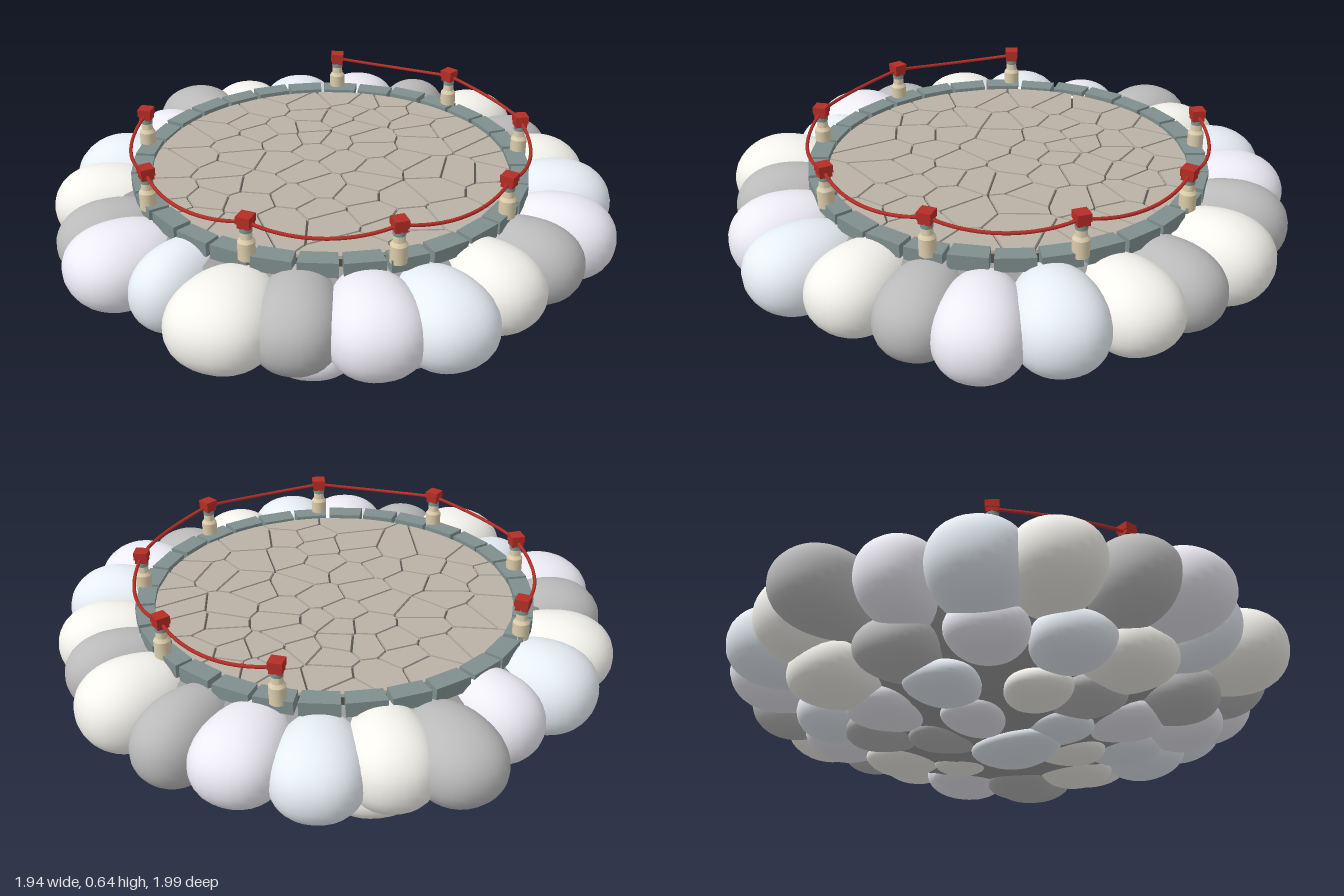
import * as THREE from 'three';
import { mergeVertices, toCreasedNormals } from 'three/addons/utils/BufferGeometryUtils.js';

const CX = 0.016, CZ = 0.007; // terrace centre
const D = Math.PI / 180;
const mat = (color) => new THREE.MeshStandardMaterial({ color });
const stoneMat = mat(0xbab2a6), groutMat = mat(0x55534f), kerbMat = mat(0x7f8e8e);
const redMat = mat(0xb52d26), postMat = mat(0xdccdac), bandMat = mat(0x7b9a95), coreMat = mat(0x9c9c9c);
const puffMats = [0xbababa, 0xf5f3ed, 0xe7eef5, 0xedebf4].map(mat);

function seeded(seed) {
  return () => {
    seed = (seed * 1664525 + 1013904223) % 4294967296;
    return seed / 4294967296;
  };
}

function add(parent, name, geometry, material) {
  const mesh = new THREE.Mesh(geometry, material);
  mesh.name = name;
  parent.add(mesh);
  return mesh;
}

// place an object on a circle around its parent's centre, its local x pointing outward
function onCircle(obj, angle, r, y) {
  obj.position.set(r * Math.cos(angle), y, r * Math.sin(angle));
  obj.rotation.y = -angle;
  return obj;
}

// slightly boxy egg with its blunt end along +x
function puffGeometry() {
  let geo = new THREE.SphereGeometry(1, 32, 20);
  geo.deleteAttribute('uv');
  geo.deleteAttribute('normal');
  geo = mergeVertices(geo);
  const p = geo.attributes.position;
  const full = (v) => Math.sign(v) * Math.abs(v) ** 0.93;
  for (let i = 0; i < p.count; i++) {
    const x = full(p.getX(i));
    p.setXYZ(i, x, full(p.getY(i)) * (1 + 0.04 * x), full(p.getZ(i)) * (1 + 0.17 * x));
  }
  geo.computeVertexNormals();
  return geo;
}

function createClouds() {
  const g = new THREE.Group();
  g.name = 'cloudBase';
  const rand = seeded(11);
  const jit = (a) => (rand() - 0.5) * 2 * a;
  const puffGeo = puffGeometry();

  // dark body behind the puffs
  const profile = [[0, 0.04], [0.2, 0.055], [0.42, 0.1], [0.6, 0.17], [0.72, 0.28], [0.75, 0.36], [0.7, 0.44], [0.62, 0.46], [0, 0.46]];
  add(g, 'cloudCore', new THREE.LatheGeometry(profile.map((p) => new THREE.Vector2(...p)), 48), coreMat);

  // big rim puffs: angle in degrees, reach from the centre, half width
  const rim = [
    [2, 0.96, 0.13], [16, 0.98, 0.15], [33, 1, 0.15], [49, 1.01, 0.145], [63, 0.95, 0.135], [80, 0.945, 0.145],
    [97, 1, 0.155], [112, 0.975, 0.155], [129, 0.94, 0.14], [144.5, 0.995, 0.17], [163, 0.885, 0.12], [179, 0.975, 0.165],
    [192, 0.945, 0.14], [211, 0.95, 0.155], [228, 0.935, 0.16], [248, 0.89, 0.135], [265.5, 1, 0.145], [279, 0.94, 0.145],
    [295, 0.975, 0.15], [312, 0.975, 0.15], [328, 0.975, 0.125], [346, 0.99, 0.155],
  ];
  rim.forEach(([a, reach, w], i) => {
    const len = 0.21;
    const puff = add(g, 'rimPuff', puffGeo, puffMats[i % 4]);
    onCircle(puff, a * D, reach - len, 0.348 + jit(0.008)).scale.set(len, 0.144 + jit(0.008), w);
  });

  // flatter puffs toward the underside, leaving the core bare on one side
  const rows = [
    { n: 14, from: 1, r: 0.595, y: 0.19, s: [0.165, 0.095, 0.15] },
    { n: 11, from: 0, r: 0.43, y: 0.118, s: [0.145, 0.058, 0.125] },
    { n: 6, from: 1, r: 0.23, y: 0.078, s: [0.13, 0.045, 0.1] },
  ];
  rows.forEach(({ n, from, r, y, s }, k) => {
    for (let i = from; i < n; i++) {
      const puff = add(g, 'underPuff', puffGeo, puffMats[(i + k + 2) % 4]);
      onCircle(puff, ((i + k * 0.5 + jit(0.2)) / n) * 2 * Math.PI, r + jit(0.03), y + jit(0.012));
      puff.scale.set(...s).multiplyScalar(1 + jit(0.12));
    }
  });
  const last = add(g, 'bottomPuff', puffGeo, puffMats[2]);
  last.position.set(-0.07, 0.046, 0);
  last.scale.set(0.17, 0.045, 0.13);
  return g;
}

// keep the part of a polygon where (p - m) . n <= -gap
function clip(poly, m, n, gap) {
  const side = (p) => (p.x - m.x) * n.x + (p.y - m.y) * n.y + gap;
  const out = [];
  poly.forEach((p, i) => {
    const q = poly[(i + 1) % poly.length];
    const a = side(p), b = side(q);
    if (a <= 0) out.push(p);
    if (a * b < 0) out.push(p.clone().lerp(q, a / (a - b)));
  });
  return out;
}

function createPaving() {
  const g = new THREE.Group();
  g.name = 'paving';
  const R = 0.617;
  const rand = seeded(5);
  add(g, 'grout', new THREE.CylinderGeometry(R + 0.005, R + 0.005, 0.04, 64), groutMat).position.y = 0.465;

  // scattered stone centres, kept a little apart
  const seeds = [];
  for (let tries = 0; seeds.length < 70 && tries < 5000; tries++) {
    const a = rand() * 2 * Math.PI, r = R * Math.sqrt(rand());
    const p = new THREE.Vector2(r * Math.cos(a), r * Math.sin(a));
    if (seeds.every((q) => q.distanceTo(p) > 0.075)) seeds.push(p);
  }
  const circle = Array.from({ length: 72 }, (_, i) => new THREE.Vector2(R * Math.cos(i * 5 * D), R * Math.sin(i * 5 * D)));
  seeds.forEach((s) => {
    let cell = circle;
    seeds.forEach((o) => {
      if (o === s) return;
      const n = o.clone().sub(s).normalize();
      cell = clip(cell, o.clone().add(s).multiplyScalar(0.5), n, 0.004);
    });
    if (cell.length < 3) return;
    const geo = new THREE.ExtrudeGeometry(new THREE.Shape(cell), { depth: 0.02, bevelEnabled: false });
    add(g, 'pavingStone', geo.rotateX(-Math.PI / 2), stoneMat).position.y = 0.476;
  });
  return g;
}

function createKerb() {
  const g = new THREE.Group();
  g.name = 'kerb';
  const rand = seeded(23);
  const n = 30, step = (2 * Math.PI) / n;
  for (let i = 0; i < n; i++) {
    // wedge-shaped block
    const r0 = 0.614 + rand() * 0.006, r1 = 0.68 + rand() * 0.006;
    const t = Math.tan(step / 2 - 0.009 - rand() * 0.005);
    const shape = new THREE.Shape([[r0, -r0 * t], [r1, -r1 * t], [r1, r1 * t], [r0, r0 * t]].map((p) => new THREE.Vector2(...p)));
    const geo = new THREE.ExtrudeGeometry(shape, { depth: 0.045 + rand() * 0.006, bevelEnabled: false });
    const block = add(g, 'kerbBlock', geo.rotateX(-Math.PI / 2), kerbMat);
    onCircle(block, -Math.PI / 2 + i * step, 0, 0.46);
  }
  return g;
}

function createRailing() {
  const g = new THREE.Group();
  g.name = 'railing';
  const count = 8, step = 40 * D, start = -55 * D;
  const shaft = [[0, 0.49], [0.028, 0.49], [0.028, 0.55], [0.02, 0.562], [0.018, 0.59], [0, 0.59]];
  const shaftGeo = toCreasedNormals(new THREE.LatheGeometry(shaft.map((p) => new THREE.Vector2(...p)), 16), 0.5);
  const bandGeo = new THREE.CylinderGeometry(0.021, 0.02, 0.018, 16);
  const neckGeo = new THREE.BoxGeometry(0.041, 0.018, 0.041);
  const capGeo = new THREE.BoxGeometry(0.047, 0.026, 0.047);

  for (let i = 0; i < count; i++) {
    const post = new THREE.Group();
    post.name = 'post';
    add(post, 'postShaft', shaftGeo, postMat);
    add(post, 'postBand', bandGeo, bandMat).position.y = 0.593;
    add(post, 'capNeck', neckGeo, redMat).position.y = 0.608;
    add(post, 'postCap', capGeo, redMat).position.y = 0.627;
    g.add(onCircle(post, start + i * step, 0.669, 0));
  }

  // sagging rope bowed outward between neighbouring posts, open at the back
  for (let i = 0; i < count - 1; i++) {
    const pts = [];
    for (let k = 0; k <= 8; k++) {
      const t = k / 8, bow = 4 * t * (1 - t), a = start + (i + t) * step;
      const r = 0.67 + 0.011 * bow;
      pts.push(new THREE.Vector3(r * Math.cos(a), 0.617 - 0.023 * bow, r * Math.sin(a)));
    }
    add(g, 'rope', new THREE.TubeGeometry(new THREE.CatmullRomCurve3(pts), 24, 0.006, 8), redMat);
  }
  return g;
}

export function createModel() {
  const model = new THREE.Group();
  model.name = 'cloudTerrace';
  const terrace = new THREE.Group();
  terrace.name = 'terrace';
  terrace.position.set(CX, 0, CZ);
  terrace.add(createPaving(), createKerb(), createRailing());
  model.add(createClouds(), terrace);
  return model;
}
